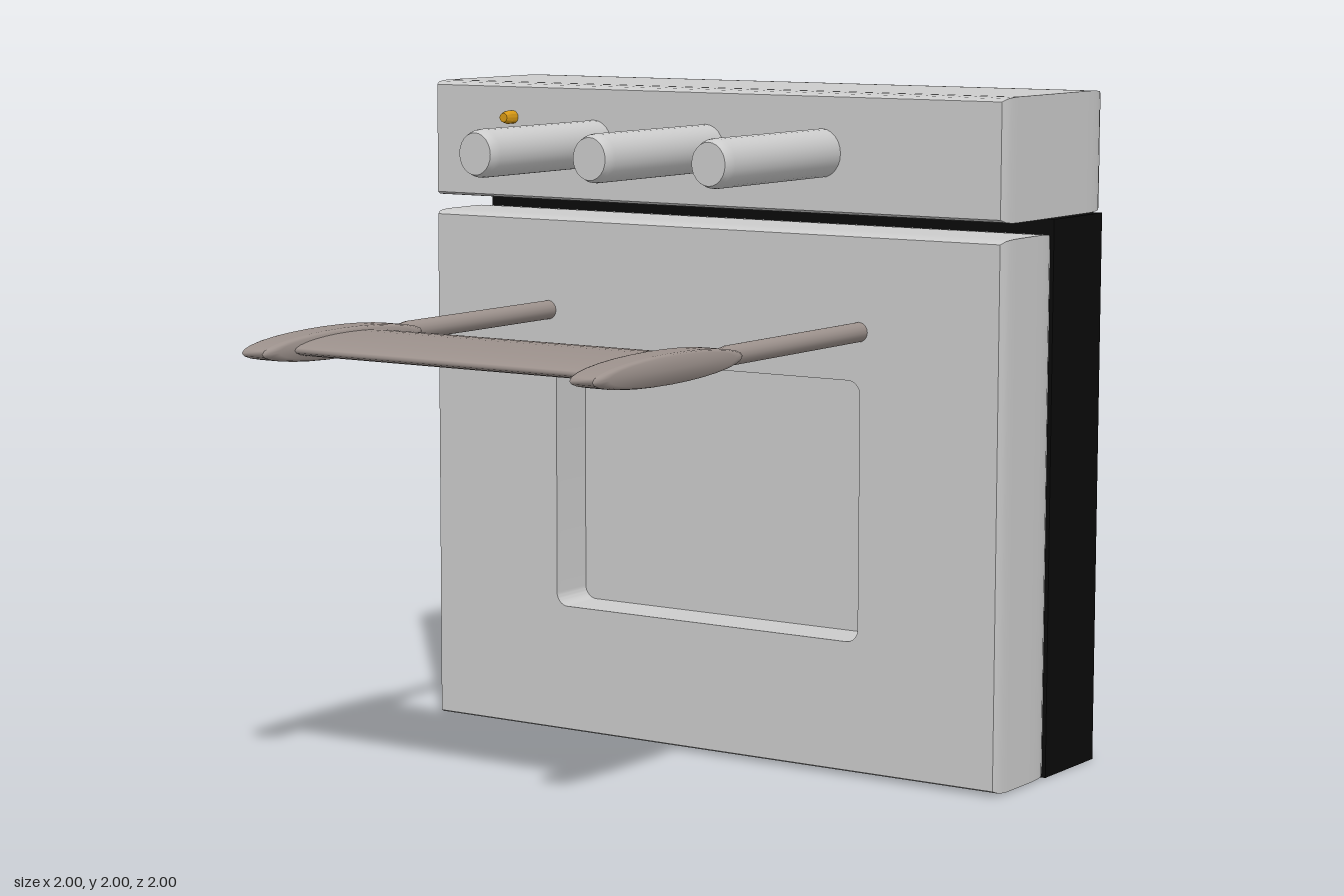
import * as THREE from 'three';
import { toCreasedNormals } from 'three/addons/utils/BufferGeometryUtils.js';

const mat = (color) => new THREE.MeshStandardMaterial({ color });

// Rounded rectangle outline for the window opening
function roundedRect(x0, y0, x1, y1, r) {
  const p = new THREE.Path();
  p.moveTo(x0 + r, y0);
  p.lineTo(x1 - r, y0).absarc(x1 - r, y0 + r, r, -Math.PI / 2, 0);
  p.lineTo(x1, y1 - r).absarc(x1 - r, y1 - r, r, 0, Math.PI / 2);
  p.lineTo(x0 + r, y1).absarc(x0 + r, y1 - r, r, Math.PI / 2, Math.PI);
  p.lineTo(x0, y0 + r).absarc(x0 + r, y0 + r, r, Math.PI, Math.PI * 1.5);
  return p;
}

// Full-width slab whose outer rim curves gently in towards its front and back
function slab(y0, y1, z0, z1, hole) {
  const shape = new THREE.Shape();
  shape.moveTo(-1, y0).lineTo(1, y0).lineTo(1, y1).lineTo(-1, y1).closePath();
  if (hole) shape.holes.push(hole);
  const depth = z1 - z0, soft = 0.08, inset = 0.012;
  const geo = new THREE.ExtrudeGeometry(shape, {
    depth, steps: Math.round(depth / 0.02), bevelEnabled: false, curveSegments: 6,
  });
  const pos = geo.attributes.position;
  for (let i = 0; i < pos.count; i++) {
    const x = pos.getX(i), y = pos.getY(i), z = pos.getZ(i);
    if (Math.abs(x) < 0.99) continue;
    const t = Math.max(0, (Math.abs(z - depth / 2) - depth / 2 + soft) / soft);
    const s = inset * (1 - Math.sqrt(Math.max(0, 1 - t * t)));
    pos.setXY(i, x - Math.sign(x) * s, y + (y < (y0 + y1) / 2 ? s : -s));
  }
  geo.translate(0, 0, z0);
  return toCreasedNormals(geo, 0.6);
}

// Turned part pointing along +z, from [radius, z] pairs
function turned(profile, sides = 20) {
  const geo = new THREE.LatheGeometry(profile.map(([r, z]) => new THREE.Vector2(r, z)), sides);
  geo.rotateX(Math.PI / 2);
  return toCreasedNormals(geo, 0.6);
}

export function createModel() {
  const model = new THREE.Group();
  const steel = mat(0xcccccc), black = mat(0x0a0a0a);
  const bronze = mat(0x9c918c), amber = mat(0xd99a14);
  const add = (name, geo, material, x = 0, y = 0, z = 0) => {
    const mesh = new THREE.Mesh(geo, material);
    mesh.name = name;
    mesh.position.set(x, y, z);
    model.add(mesh);
    return mesh;
  };

  // Body, control panel and door with recessed window
  add('ovenBody', new THREE.BoxGeometry(2, 1.64, 0.3), black, 0, 0.82, -0.85);
  add('controlPanel', slab(1.645, 2, -1, -0.4), steel);
  add('door', slab(0.004, 1.6, -0.7, -0.4, roundedRect(-0.54, 0.4, 0.535, 1.17, 0.04)), steel);
  add('windowPane', new THREE.BoxGeometry(1.1, 0.8, 0.14), steel, 0, 0.785, -0.625);

  // Control knobs
  const knob = turned([[0, -0.42], [0.066, -0.42], [0.066, 0.16], [0.064, 0.18], [0.057, 0.2], [0, 0.2]], 24);
  knob.scale(0.97, 1.07, 1);
  for (const x of [-0.4, 0, 0.4]) add('knob', knob, steel, x, 1.825, 0);

  // Indicator lights
  const lamp = turned([[0, -0.42], [0.02, -0.42], [0.02, -0.37], [0.014, -0.35], [0, -0.35]], 12);
  for (const y of [1.823, 1.896]) add('indicatorLight', lamp, amber, -0.7, y, 0);

  // Handle: two rods, flattened end caps and a flattened grip bar
  const rod = turned([[0, -0.42], [0.029, -0.42], [0.029, 0.3], [0.018, 0.38], [0, 0.42]], 16);
  const cap = turned([[0, -0.05], [0.84, -0.05], [0.95, -0.046], [1, -0.036],
    [1, 0.036], [0.95, 0.046], [0.84, 0.05], [0, 0.05]], 28);
  cap.rotateY(Math.PI / 2).scale(1, 0.042, 0.36);
  for (const x of [-0.57, 0.53]) {
    add('handleRod', rod, bronze, x, 1.313, 0);
    add('handleEnd', cap, bronze, x, 1.313, 0.64);
  }
  const bar = new THREE.CylinderGeometry(1, 1, 1.06, 28);
  bar.rotateZ(Math.PI / 2).scale(1, 0.031, 0.238);
  add('handleBar', bar, bronze, -0.02, 1.313, 0.638);

  return model;
}
